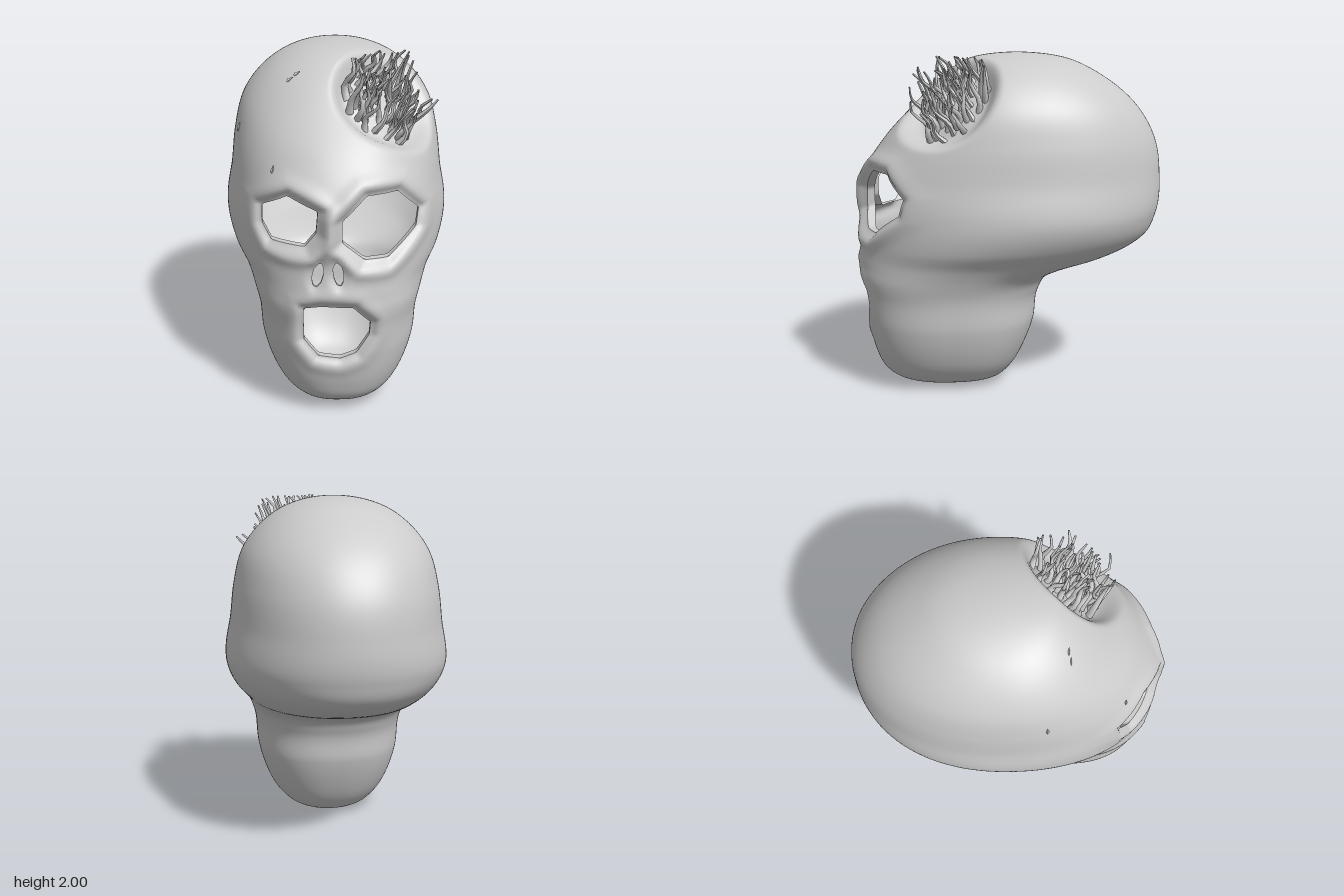
import * as THREE from 'three';

const mat = new THREE.MeshStandardMaterial({ color: 0xcccccc, side: THREE.DoubleSide });
const V = (x, y, z) => new THREE.Vector3(x, y, z);
const { smoothstep, clamp } = THREE.MathUtils;

// Horizontal sections: y, half width, front z, back z
const sections = [
  [0, 0, .36, .36], [.01, .14, .55, .13], [.03, .22, .66, .07], [.1, .31, .77, -.01], [.2, .375, .82, -.07],
  [.4, .44, .865, -.145], [.6, .46, .89, -.18], [.7, .49, .91, -.26], [.75, .51, .91, -.4], [.8, .535, .91, -.6],
  [.9, .605, .9, -.8], [1.05, .652, .89, -.887], [1.3, .62, .87, -.905], [1.5, .596, .745, -.87],
  [1.7, .54, .56, -.75], [1.9, .36, .35, -.49], [1.97, .21, .22, -.32], [2, 0, -.04, -.04],
];
const angleOf = y => Math.acos(clamp(1 - y, -1, 1));
const profile = new THREE.CubicInterpolant(sections.map(s => angleOf(s[0])), sections.flatMap(s => s.slice(1)), 3);

// Section at a height; its widest point moves back and its outline gets rounder above the jaw
function sectionAt(y) {
  const [w, zf, zb] = profile.evaluate(angleOf(y));
  return { w, zf, zb, zc: .36 - .4 * smoothstep(y, .6, 1.1), n: 2.4 - .3 * smoothstep(y, .6, .9) };
}

const oval = (cx, cy, rx, ry, lean) => Array.from({ length: 9 }, (_, i) => {
  const a = 2 * Math.PI * i / 9, s = Math.sin(a);
  return [cx + rx * Math.cos(a) + lean * s, cy + ry * s];
});

// Openings: centre, outline, depth of the rolled edge, height of the raised surround
const openings = [
  { name: 'leftEyeSocket', c: [.22, 1.16], dip: .035, raise: .02, pts: [[.01, 1.2], [.01, 1.08], [.13, .98],
    [.26, .975], [.42, 1.1], [.435, 1.2], [.31, 1.325], [.14, 1.325]] },
  { name: 'rightEyeSocket', c: [-.27, 1.17], dip: .035, raise: .02, pts: [[-.42, 1.13], [-.37, 1.05],
    [-.19, 1.05], [-.13, 1.13], [-.12, 1.25], [-.28, 1.31], [-.42, 1.23]] },
  { name: 'leftNostril', c: [-.012, .915], dip: .015, raise: 0, pts: oval(-.012, .915, .028, .072, -.008) },
  { name: 'rightNostril', c: [-.122, .905], dip: .015, raise: 0, pts: oval(-.122, .905, .03, .07, .012) },
  { name: 'mouth', c: [-.02, .56], dip: .03, raise: .008, pts: [[-.2, .7], [-.1, .72], [.07, .71], [.165, .61],
    [.16, .53], [.09, .42], [0, .385], [-.12, .4], [-.2, .5]] },
];

// Distance from an opening's centre to its outline in the direction (dx, dy)
function reach(o, dx, dy) {
  let best = 1e-3;
  o.pts.forEach((p, i) => {
    const q = o.pts[(i + 1) % o.pts.length];
    const ax = p[0] - o.c[0], ay = p[1] - o.c[1], ex = q[0] - p[0], ey = q[1] - p[1];
    const det = dx * ey - dy * ex;
    if (Math.abs(det) < 1e-9) return;
    const r = (ax * ey - ay * ex) / det, u = (ax * dy - ay * dx) / det;
    if (r > 0 && u >= -1e-6 && u <= 1 + 1e-6) best = Math.max(best, r);
  });
  return best;
}
const polar = (o, x, y) => {
  const dx = x - o.c[0], dy = y - o.c[1], d = Math.hypot(dx, dy) || 1e-6;
  return { d, ux: dx / d, uy: dy / d, r: reach(o, dx / d, dy / d) };
};

// Relief of the face around the openings
function relief(x, y) {
  let z = 0;
  for (const o of openings) {
    const { d, r } = polar(o, x, y), e = d - r;
    z += o.raise * Math.exp(-(((e - .07) / .04) ** 2)) - o.dip * Math.exp(-((e / .03) ** 2));
  }
  return z;
}
function faceZ(x, y) {
  const { w, zf, zc, n } = sectionAt(y);
  return zc + (zf - zc) * Math.max(0, 1 - Math.abs(x / w) ** n) ** (1 / n) + relief(x, y);
}

// Sunken patch on the crown
const patch = V(.29, 1.75, .38), outward = V(.5, .68, .5).normalize();
const dent = p => p.addScaledVector(outward, -.11 * (1 - smoothstep(p.distanceTo(patch), .2, .36)));

function meshFrom(name, pos, index) {
  const g = new THREE.BufferGeometry();
  g.setAttribute('position', new THREE.Float32BufferAttribute(pos, 3));
  g.setIndex(index);
  g.computeVertexNormals();
  const m = new THREE.Mesh(g, mat);
  m.name = name;
  return m;
}

// Lofted shell with the openings left out and its edges pulled onto their outlines
function skull() {
  const rows = 210, cols = 250, pos = [], idx = [], cut = [];
  const pw = (v, n) => Math.sign(v) * Math.abs(v) ** (2 / n);
  for (let i = 0; i <= rows; i++) {
    const y = 1 - Math.cos(Math.PI * i / rows), { w, zf, zb, zc, n } = sectionAt(y);
    for (let j = 0; j < cols; j++) {
      const a = 2 * Math.PI * j / cols, c = Math.cos(a);
      const p = V(w * pw(Math.sin(a), n), y, zc + (c > 0 ? zf - zc : zc - zb) * pw(c, n));
      let hole = -1;
      if (c > .05 && y > .2 && y < 1.6) {
        hole = openings.findIndex(o => {
          const { d, r } = polar(o, p.x, p.y);
          return d < r;
        });
        if (hole >= 0) {
          const o = openings[hole], { ux, uy, r } = polar(o, p.x, p.y);
          p.x = o.c[0] + ux * r;
          p.y = o.c[1] + uy * r;
          p.z = faceZ(p.x, p.y);
        } else p.z += relief(p.x, p.y);
      }
      dent(p);
      pos.push(p.x, p.y, p.z);
      cut.push(hole);
    }
  }
  const tri = (a, b, c) => {
    if (cut[a] < 0 || cut[a] !== cut[b] || cut[a] !== cut[c]) idx.push(a, b, c);
  };
  for (let i = 0; i < rows; i++) for (let j = 0; j < cols; j++) {
    const a = i * cols + j, b = i * cols + (j + 1) % cols;
    tri(a, b, b + cols);
    tri(a, b + cols, a + cols);
  }
  return meshFrom('skull', pos, idx);
}

// Short wall turning inward behind each opening
function rim(o) {
  const n = 72, pos = [], idx = [], depth = o.dip * 1.3;
  for (let i = 0; i < n; i++) {
    const a = 2 * Math.PI * i / n, r = reach(o, Math.cos(a), Math.sin(a));
    const x = o.c[0] + r * Math.cos(a), y = o.c[1] + r * Math.sin(a), z = faceZ(x, y);
    pos.push(x, y, z, x, y, z - depth);
    const p = 2 * i, q = 2 * ((i + 1) % n);
    idx.push(p, q, p + 1, q, q + 1, p + 1);
  }
  return meshFrom(o.name + 'Rim', pos, idx);
}

// Tapered, curved strand
function strand(name, points, radius) {
  const curve = new THREE.CatmullRomCurve3(points), seg = 7, sides = 6;
  const g = new THREE.TubeGeometry(curve, seg, radius, sides), pos = g.attributes.position, p = V();
  for (let i = 0; i < pos.count; i++) {
    const t = Math.floor(i / (sides + 1)) / seg, c = curve.getPointAt(t);
    p.fromBufferAttribute(pos, i).sub(c).multiplyScalar(1.15 - .85 * t).add(c);
    pos.setXYZ(i, p.x, p.y, p.z);
  }
  g.computeVertexNormals();
  const m = new THREE.Mesh(g, mat);
  m.name = name;
  return m;
}

// Strands spread over the sunken patch
function tuft() {
  const group = new THREE.Group();
  group.name = 'hairTuft';
  let seed = 11;
  const rnd = () => (seed = (seed * 16807) % 2147483647) / 2147483647;
  const u = V(1, 0, -1).normalize(), v = V().crossVectors(outward, u).normalize();
  const count = 52;
  for (let i = 0; i < count; i++) {
    const r = .25 * Math.sqrt((i + .5) / count), a = i * 2.4;
    const base = patch.clone().addScaledVector(outward, -.13)
      .addScaledVector(u, r * Math.cos(a) * .85).addScaledVector(v, r * Math.sin(a));
    const dir = V(.25 + .5 * (rnd() - .5), .75, .3 + .5 * (rnd() - .5)).normalize();
    const len = Math.min(.2 + .1 * rnd(), (1.98 - base.y) / dir.y);
    const bend = V(rnd() - .5, 0, rnd() - .5).multiplyScalar(.07);
    const at = (t, k) => base.clone().addScaledVector(dir, len * t).addScaledVector(bend, k);
    group.add(strand('hairStrand', [at(0, 0), at(.35, 1), at(.7, -.3), at(1, .6)], .015 + .006 * rnd()));
  }
  group.add(strand('strayStrand', [V(.42, 1.6, .32), V(.47, 1.64, .34), V(.51, 1.68, .36), V(.56, 1.73, .35)], .018));
  return group;
}

export function createModel() {
  const model = new THREE.Group();
  model.name = 'skullHead';
  model.add(skull(), ...openings.map(rim), tuft());
  // Small splinters on the right side of the forehead
  for (const [x, y, tilt] of [[-.36, 1.42, -.2], [-.27, 1.84, -.9], [-.23, 1.87, -.9], [-.56, 1.54, -.2]]) {
    const m = new THREE.Mesh(new THREE.OctahedronGeometry(1), mat);
    m.name = 'splinter';
    m.scale.set(.012, .032, .01);
    m.rotation.z = tilt;
    m.position.set(x, y, faceZ(x, y));
    model.add(m);
  }
  return model;
}
